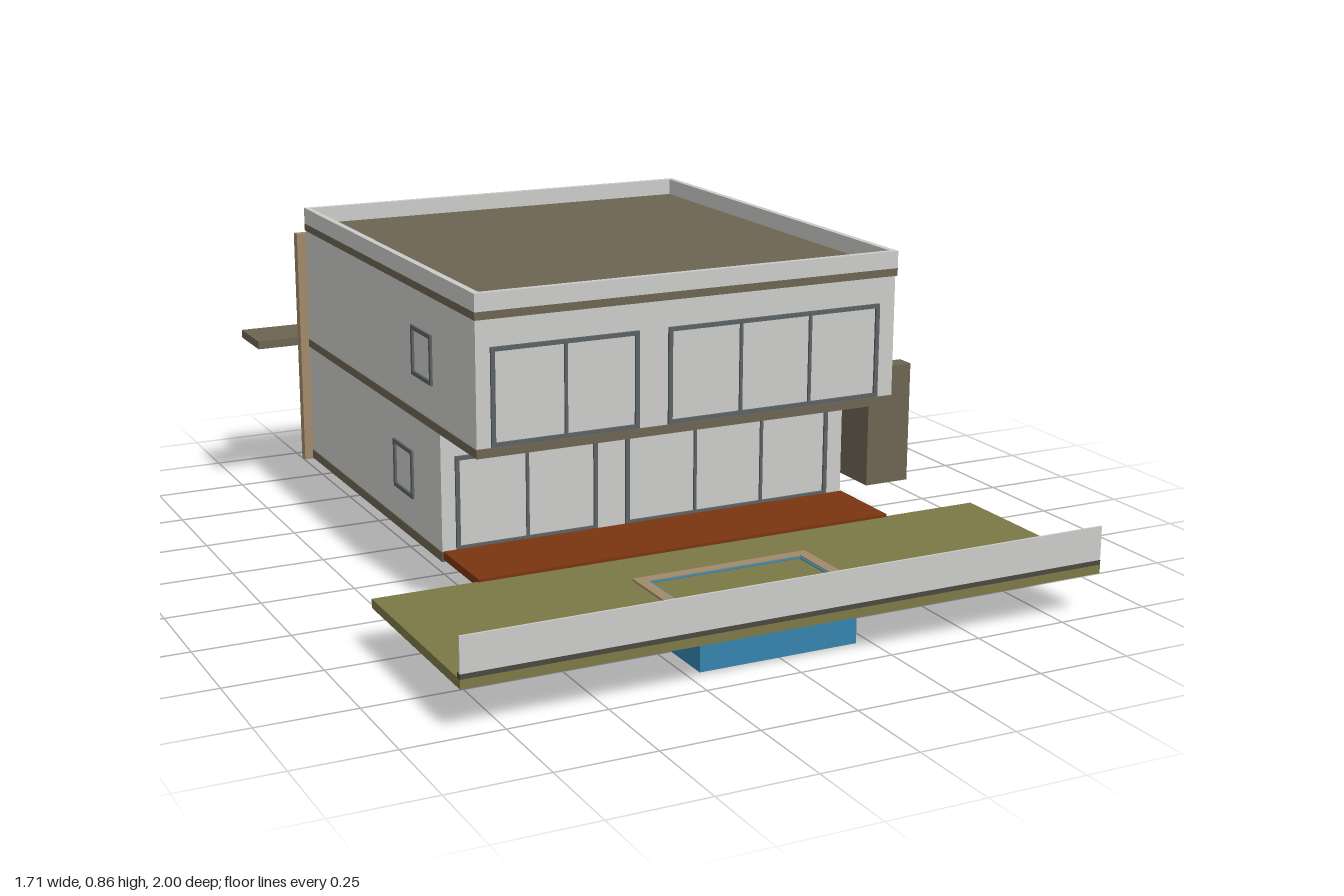
import * as THREE from 'three';

const mat = (name, color) => {
  const m = new THREE.MeshStandardMaterial({ color });
  m.name = name;
  return m;
};

export function createModel() {
  const wall = mat('pale wall', 0xcbcbc9);
  const slab = mat('brown concrete', 0x6d6452);
  const tan = mat('tan cladding', 0xa08a6b);
  const grass = mat('lawn green', 0x7b7945);
  const water = mat('pool blue', 0x3584ae);
  const deckWood = mat('red-brown deck', 0x7a3510);
  const frame = mat('window frame grey', 0x5c6264);
  const dark = mat('dark kerb', 0x4b473f);

  const model = new THREE.Group();
  model.name = 'house';

  // Box given by its minimum and maximum on each axis
  const box = (name, m, x0, x1, y0, y1, z0, z1, parent = model) => {
    const mesh = new THREE.Mesh(new THREE.BoxGeometry(x1 - x0, y1 - y0, z1 - z0), m);
    mesh.position.set((x0 + x1) / 2, (y0 + y1) / 2, (z0 + z1) / 2);
    mesh.name = name;
    parent.add(mesh);
    return mesh;
  };

  // Flat rectangular ring in the XY plane
  const ring = (w, h, t, depth) => {
    const s = new THREE.Shape();
    s.moveTo(-w / 2, -h / 2).lineTo(w / 2, -h / 2).lineTo(w / 2, h / 2).lineTo(-w / 2, h / 2).closePath();
    const a = w / 2 - t, b = h / 2 - t;
    const hole = new THREE.Path();
    hole.moveTo(-a, -b).lineTo(-a, b).lineTo(a, b).lineTo(a, -b).closePath();
    s.holes.push(hole);
    return new THREE.ExtrudeGeometry(s, { depth, bevelEnabled: false });
  };

  // Window frame with upright dividers
  const makeWindow = (name, w, h, dividers = []) => {
    const g = new THREE.Group();
    g.name = name;
    g.add(new THREE.Mesh(ring(w, h, 0.011, 0.006), frame));
    dividers.forEach((x) => box('divider', frame, x - 0.004, x + 0.004, -h / 2, h / 2, 0, 0.005, g));
    model.add(g);
    return g;
  };

  // Floors, walls and roof; the upper storey overhangs the deck
  const W = 0.585, back = -0.81, lowFront = 0.21, upFront = 0.45;
  box('groundSlab', slab, -W - 0.003, W + 0.003, 0.115, 0.14, back, lowFront + 0.006);
  box('lowerStorey', wall, -W, W, 0.14, 0.45, back, lowFront);
  box('upperSlab', slab, -W - 0.003, W + 0.003, 0.45, 0.472, back, upFront + 0.006);
  box('upperStorey', wall, -W, W, 0.472, 0.79, back, upFront);
  box('roofSlab', slab, -W - 0.003, W + 0.003, 0.79, 0.81, back, upFront + 0.006);

  // Roof parapet
  const parapet = new THREE.Mesh(ring(2 * W + 0.006, upFront + 0.006 - back, 0.017, 0.045), wall);
  parapet.name = 'parapet';
  parapet.rotation.x = -Math.PI / 2;
  parapet.position.set(0, 0.81, (upFront + 0.006 + back) / 2);
  model.add(parapet);

  // Front windows, repeated on both storeys
  for (const [y, z] of [[0.263, lowFront], [0.597, upFront]]) {
    makeWindow('doubleWindow', 0.395, 0.248, [0]).position.set(-0.35, y, z);
    makeWindow('tripleWindow', 0.61, 0.248, [-0.1, 0.1]).position.set(0.233, y, z);
  }

  // Small side windows, mirrored
  for (const side of [-1, 1]) {
    for (const [y, z] of [[0.628, 0.1], [0.29, -0.05]]) {
      const w = makeWindow('sideWindow', 0.137, 0.13);
      w.rotation.y = side * Math.PI / 2;
      w.position.set(side * W, y, z);
    }
  }

  // Back cladding and the walkway behind it
  box('backWall', tan, -0.612, 0.612, 0.112, 0.78, -0.838, back);
  box('walkway', slab, -0.73, 0.83, 0.45, 0.473, -1, -0.838);

  // Solid outside stair, rising towards the front
  const steps = 20, z0 = -0.838, z1 = 0.193, y0 = 0.138, y1 = 0.473;
  const profile = new THREE.Shape();
  profile.moveTo(z0, y0);
  for (let i = 0; i < steps; i++) {
    const y = y0 + (y1 - y0) * (i + 1) / steps;
    profile.lineTo(z0 + (z1 - z0) * i / steps, y);
    profile.lineTo(z0 + (z1 - z0) * (i + 1) / steps, y);
  }
  profile.lineTo(z1, y0);
  const stair = new THREE.Mesh(new THREE.ExtrudeGeometry(profile, { depth: 0.132, bevelEnabled: false }), slab);
  stair.name = 'stair';
  stair.rotation.y = -Math.PI / 2;
  stair.position.x = 0.813;
  model.add(stair);

  // Deck and lawn
  box('deck', deckWood, -W, W, 0.122, 0.143, lowFront + 0.006, 0.446);
  box('lawn', grass, -0.857, 0.857, 0.112, 0.135, 0.44, 1);

  // Pool basin, waterline and surround
  box('poolBasin', water, -0.214, 0.214, 0, 0.112, 0.628, 0.897);
  const flat = (name, geo, m, y) => {
    const mesh = new THREE.Mesh(geo, m);
    mesh.name = name;
    mesh.rotation.x = -Math.PI / 2;
    mesh.position.set(0, y, 0.762);
    model.add(mesh);
  };
  flat('poolSurround', ring(0.486, 0.326, 0.029, 0.006), tan, 0.135);
  flat('poolEdge', ring(0.428, 0.268, 0.006, 0.003), water, 0.135);

  // Front kerb and thin railing panel
  box('kerb', dark, -0.857, 0.857, 0.135, 0.147, 0.984, 1);
  box('railing', wall, -0.857, 0.857, 0.147, 0.235, 0.993, 0.999);

  return model;
}
